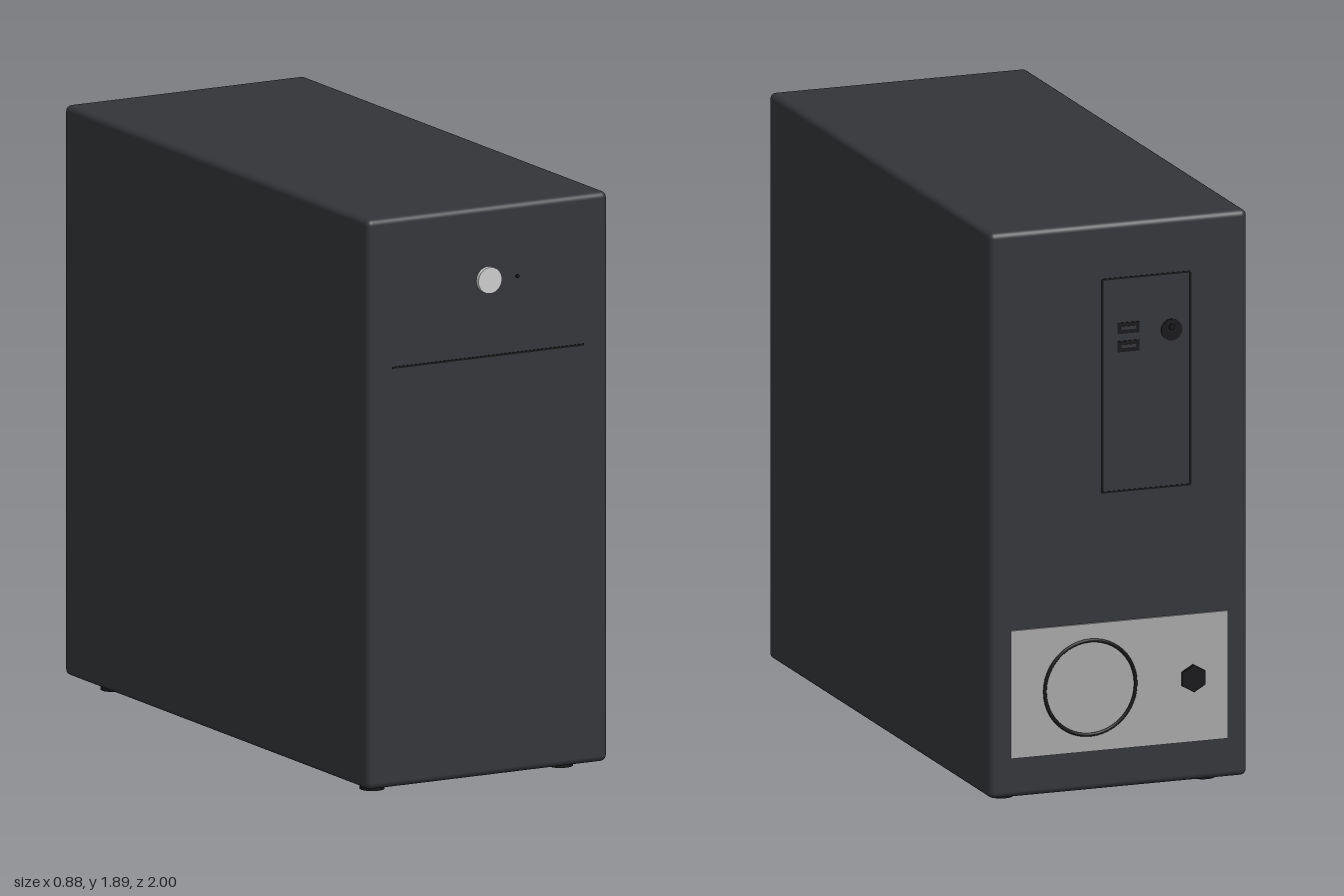
import * as THREE from 'three';
import { RoundedBoxGeometry } from 'three/addons/geometries/RoundedBoxGeometry.js';

const paint = (color) => new THREE.MeshStandardMaterial({ color });

export function createModel() {
  const model = new THREE.Group();
  const shell = paint(0x333438), black = paint(0x141416);
  const steel = paint(0xa6a6a6), silver = paint(0xc4c4c4);
  const FRONT = 0.985, BACK = -0.98;

  const add = (name, geometry, material, x, y, z, parent = model) => {
    const mesh = new THREE.Mesh(geometry, material);
    mesh.name = name;
    mesh.position.set(x, y, z);
    parent.add(mesh);
    return mesh;
  };
  const box = (w, h, d) => new THREE.BoxGeometry(w, h, d);
  // Disc whose axis runs along z
  const disc = (r, depth, sides = 32) =>
    new THREE.CylinderGeometry(r, r, depth, sides).rotateX(Math.PI / 2);

  // Case with softly rounded edges
  add('case', new RoundedBoxGeometry(0.88, 1.86, FRONT - BACK, 4, 0.02), shell,
    0, 0.96, (FRONT + BACK) / 2);

  // Four round feet
  for (const x of [-0.345, 0.345])
    for (const z of [0.845, -0.83])
      add('foot', new THREE.CylinderGeometry(0.04, 0.04, 0.04, 20), black, x, 0.02, z);

  // Front: power button, status light and seam
  add('powerButton', disc(0.043, 0.02), silver, 0, 1.65, 0.99);
  add('statusLight', disc(0.006, 0.01, 12), black, 0.107, 1.65, FRONT);
  add('frontSeam', box(0.7, 0.006, 0.006), black, 0, 1.4, FRONT);

  // Back: power supply plate with fan ring and socket
  const supply = new THREE.Group();
  supply.name = 'powerSupply';
  model.add(supply);
  add('supplyPlate', box(0.74, 0.42, 0.016), steel, 0, 0.37, BACK, supply);
  add('fanRing', new THREE.TorusGeometry(0.155, 0.006, 8, 48), black, 0.1, 0.37, -0.988, supply);
  add('powerSocket', disc(0.045, 0.02, 6), black, -0.25, 0.37, -0.99, supply);

  // Back: connector panel outlined by thin strips
  const panel = new THREE.Group();
  panel.name = 'connectorPanel';
  model.add(panel);
  const [w, h, cx, cy] = [0.3, 0.7, -0.095, 1.355];
  for (const s of [-1, 1]) {
    add('panelSideEdge', box(0.006, h, 0.004), black, cx + s * w / 2, cy, BACK, panel);
    add('panelCrossEdge', box(w, 0.006, 0.004), black, cx, cy + s * h / 2, BACK, panel);
  }

  // Two stacked slot ports with tongues, and a round port with a pin
  for (const y of [1.54, 1.48]) {
    add('slotPort', box(0.075, 0.036, 0.006), black, -0.033, y, BACK, panel);
    add('slotTongue', box(0.05, 0.01, 0.008), shell, -0.033, y, BACK, panel);
  }
  add('roundPort', disc(0.036, 0.008, 16), black, -0.18, 1.52, BACK, panel);
  add('roundPortPin', disc(0.01, 0.018, 12), black, -0.18, 1.53, BACK, panel);

  return model;
}
